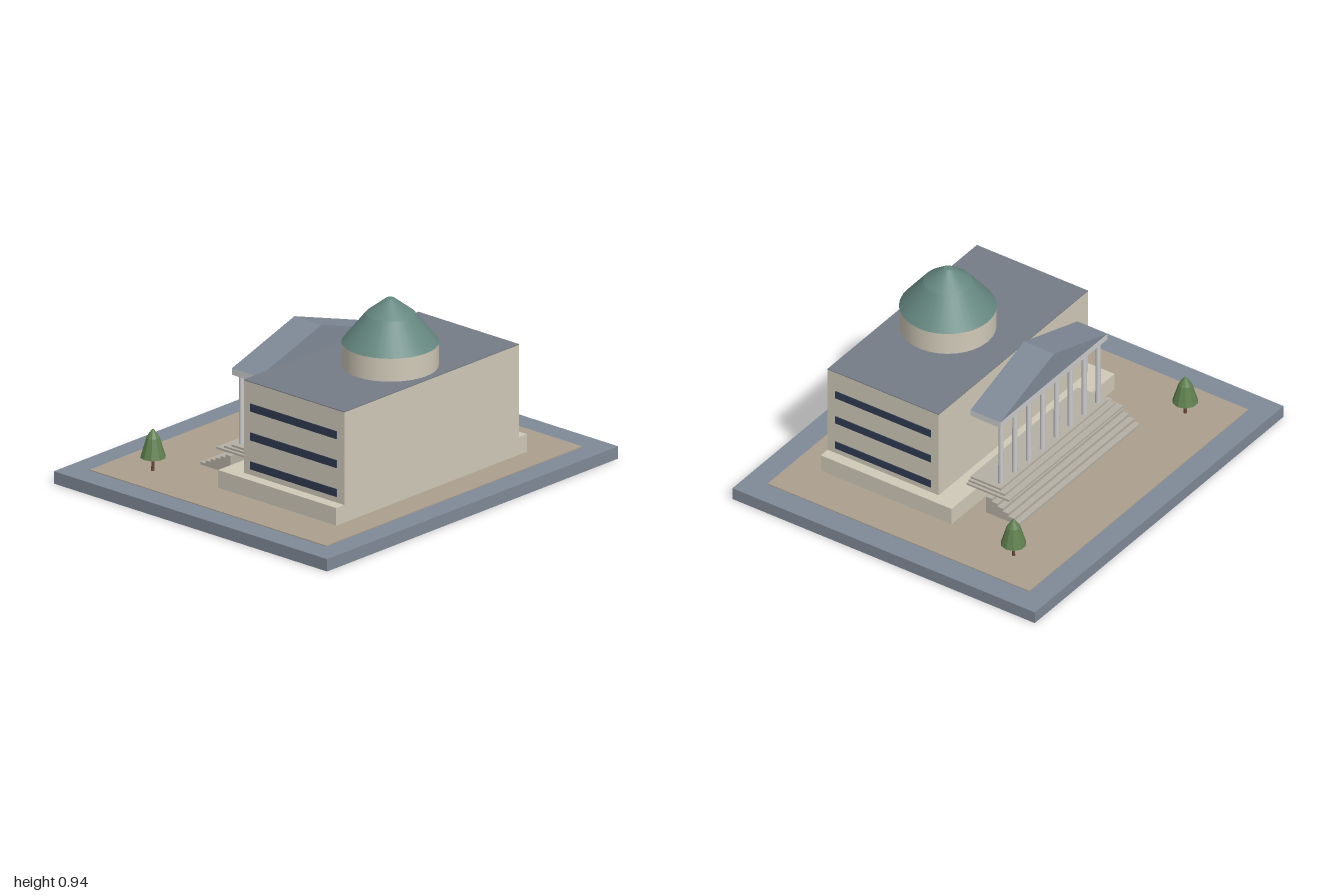
import * as THREE from 'three';

const mat = (color, extra = {}) => {
  const m = new THREE.MeshStandardMaterial({ color });
  if (extra.flat) m.flatShading = true;
  return m;
};
const MAT = {
  slate: mat(0x7f8997), paving: mat(0xab9f8d), stone: mat(0xd0c9b8), roof: mat(0x767c86),
  glass: mat(0x2f3b52), copper: mat(0x658780), steps: mat(0xb5b0a4), marble: mat(0xcccccc),
  leaf: mat(0x60804f, { flat: true }), bark: mat(0x6b4a35),
};

function add(parent, name, geometry, material) {
  const mesh = new THREE.Mesh(geometry, material);
  mesh.name = name;
  parent.add(mesh);
  return mesh;
}

// Box given by x range, y range and half depth about a z centre
function block(parent, name, material, x0, x1, y0, y1, halfZ, z = 0) {
  const mesh = add(parent, name, new THREE.BoxGeometry(x1 - x0, y1 - y0, halfZ * 2), material);
  mesh.position.set((x0 + x1) / 2, (y0 + y1) / 2, z);
  return mesh;
}

// Stack of frustums through [radius, y] pairs, so edges between rings stay sharp
function rings(parent, name, material, profile, sides, x, z) {
  for (let i = 0; i < profile.length - 1; i++) {
    const [r0, y0] = profile[i], [r1, y1] = profile[i + 1];
    const mesh = add(parent, name, new THREE.CylinderGeometry(r1, r0, y1 - y0, sides), material);
    mesh.position.set(x, (y0 + y1) / 2, z);
  }
}

function group(parent, name) {
  const g = new THREE.Group();
  g.name = name;
  parent.add(g);
  return g;
}

export function createModel() {
  const model = new THREE.Group();
  model.name = 'courthouse';

  // Ground
  block(model, 'base', MAT.slate, -0.855, 0.855, 0, 0.061, 1);
  block(model, 'plaza', MAT.paving, -0.74, 0.74, 0.055, 0.065, 0.88);

  // Main building
  const building = group(model, 'building');
  block(building, 'plinth', MAT.stone, -0.142, 0.598, 0.06, 0.152, 0.655);
  block(building, 'mainBlock', MAT.stone, -0.03, 0.598, 0.15, 0.609, 0.6);
  block(building, 'roof', MAT.roof, -0.03, 0.598, 0.609, 0.613, 0.6);
  for (const side of [-1, 1])
    for (const y of [0.2, 0.343, 0.486])
      block(building, 'windowBand', MAT.glass, 0.012, 0.552, y - 0.019, y + 0.019, 0.005, side * 0.6);

  // Dome on its drum
  const dome = group(model, 'dome');
  rings(dome, 'drum', MAT.stone, [[0.225, 0.61], [0.225, 0.727]], 32, 0.34, 0);
  rings(dome, 'domeShell', MAT.copper, [[0.227, 0.727], [0.115, 0.868], [0.02, 0.942]], 32, 0.34, 0);

  // Entrance stairs, rising toward the portico
  const stairs = group(model, 'stairs');
  for (let i = 0; i < 6; i++) {
    const x = -0.405 + i * 0.031, y = 0.063 + i * 0.0152;
    block(stairs, 'step', MAT.steps, x, -0.217, y, y + 0.0152, 0.485);
  }

  // Portico: tiered floor, columns, beam and gable
  const portico = group(model, 'portico');
  const tiers = [[-0.33, 0.46], [-0.295, 0.445], [-0.262, 0.43]];
  tiers.forEach(([x, halfZ], i) =>
    block(portico, 'floorTier', MAT.steps, x, -0.09, 0.155 + i * 0.01, 0.165 + i * 0.01, halfZ));

  const columns = 8;
  for (let i = 0; i < columns; i++) {
    const column = add(portico, 'column', new THREE.CylinderGeometry(0.012, 0.0135, 0.345, 16), MAT.marble);
    column.position.set(-0.235, 0.3575, -0.39 + (0.78 * i) / (columns - 1));
  }
  block(portico, 'beam', MAT.marble, -0.26, -0.09, 0.53, 0.562, 0.43);

  const gable = new THREE.Shape([
    new THREE.Vector2(-0.43, 0), new THREE.Vector2(0.43, 0), new THREE.Vector2(0, 0.138),
  ]);
  const pediment = add(portico, 'pediment',
    new THREE.ExtrudeGeometry(gable, { depth: 0.17, bevelEnabled: false }), MAT.slate);
  pediment.rotation.y = Math.PI / 2;
  pediment.position.set(-0.26, 0.562, 0);

  // Trees
  for (const z of [-0.69, 0.69]) {
    const tree = group(model, 'tree');
    rings(tree, 'trunk', MAT.bark, [[0.008, 0.063], [0.007, 0.14]], 8, -0.517, z);
    rings(tree, 'foliage', MAT.leaf, [[0.061, 0.132], [0.032, 0.228], [0.005, 0.268]], 10, -0.517, z);
  }
  return model;
}
